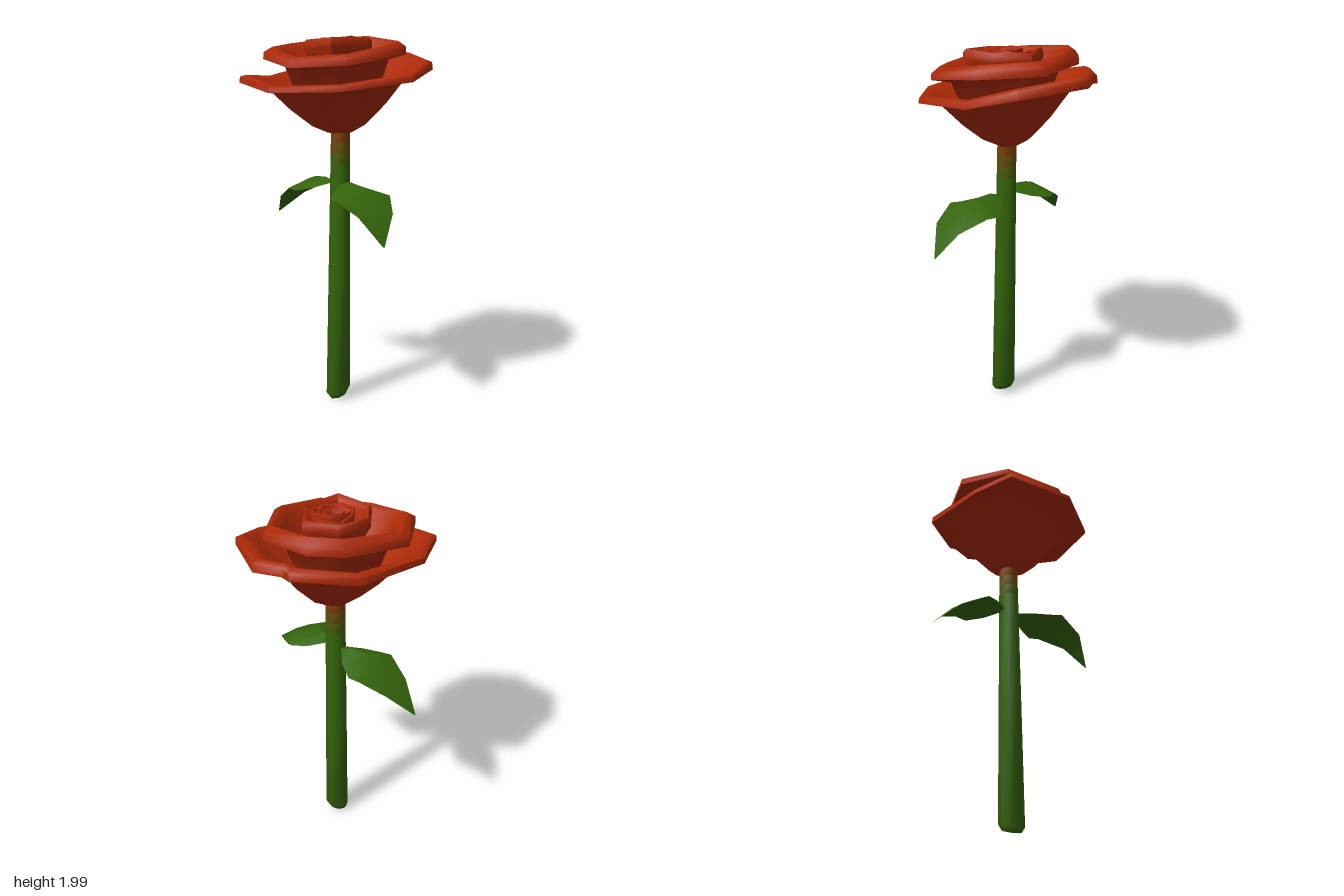
import * as THREE from 'three';
import { toCreasedNormals } from 'three/addons/utils/BufferGeometryUtils.js';

const mat = (name, color) =>
  Object.assign(new THREE.MeshStandardMaterial({ color, side: THREE.DoubleSide }), { name });

// Skin a list of rings (arrays of [x, y, z]); closed rings wrap around
function skin(rings, closed, crease) {
  const n = rings[0].length, index = [];
  for (let j = 0; j < rings.length - 1; j++) {
    for (let i = 0; i < (closed ? n : n - 1); i++) {
      const k = (i + 1) % n;
      const a = j * n + i, b = j * n + k, c = a + n, d = b + n;
      index.push(a, c, b, b, c, d);
    }
  }
  const g = new THREE.BufferGeometry();
  g.setAttribute('position', new THREE.Float32BufferAttribute(rings.flat(2), 3));
  g.setIndex(index);
  return toCreasedNormals(g, crease);
}

// Cup of petals: the rim outline is scaled to the centre and lowered to the base, level by level
function petalCup(rim, base, levels, [cx, cz] = [0, 0]) {
  return skin(levels.map(([k, t]) => rim.map(([x, y, z]) =>
    [cx + (x - cx) * k, base + (y - base) * t, cz + (z - cz) * k])), true, 1.1);
}

// Small irregular rim for the furled heart
function heartRim(r, y, turn, sides) {
  return Array.from({ length: sides }, (_, i) => {
    const a = turn + i / sides * Math.PI * 2, q = r * (1 + 0.14 * Math.sin(i * 2.3 + turn));
    return [0.01 + q * Math.sin(a), y + 0.01 * Math.sin(i * 1.7), -q * Math.cos(a)];
  });
}

export function createModel() {
  const model = new THREE.Group();
  const red = mat('petal red', 0xac2a08);
  const green = mat('leaf green', 0x34640a);
  const fade = [mat('olive', 0x485a0a), mat('brown', 0x624c0a), mat('rust', 0x7c3e0a)];
  const add = (parent, name, geo, material) => {
    const m = new THREE.Mesh(geo, material);
    m.name = name;
    parent.add(m);
    return m;
  };

  // Flower: three big cups, clockwise rims seen from above
  const flower = new THREE.Group();
  flower.name = 'flower';
  model.add(flower);

  const outerRim = [[0.12, 1.9, -0.46], [0.155, 1.91, -0.442], [0.29, 1.91, -0.425],
    [0.465, 1.875, -0.12], [0.425, 1.81, 0.13], [0.15, 1.765, 0.42], [-0.2, 1.755, 0.46],
    [-0.465, 1.8, 0.235], [-0.43, 1.79, 0], [-0.19, 1.88, -0.41]];
  add(flower, 'outerPetals', petalCup(outerRim, 1.5, [[0, 0], [0.13, 0], [0.28, 0.11], [0.5, 0.4],
    [0.77, 0.85], [1, 0.87], [0.99, 0.97], [0.93, 1], [0.8, 0.92], [0.5, 0.5], [0, 0.35]]), red);

  const middleRim = [[0.06, 2, -0.365], [0.3, 1.97, -0.21], [0.325, 1.95, 0.09],
    [0.16, 1.905, 0.35], [-0.13, 1.89, 0.375], [-0.36, 1.94, 0.165], [-0.365, 1.96, -0.12],
    [-0.11, 1.995, -0.34]];
  add(flower, 'middlePetals', petalCup(middleRim, 1.58, [[0.3, 0], [0.6, 0.4], [0.74, 0.78],
    [1, 0.83], [0.99, 0.93], [0.88, 1], [0.74, 0.92], [0.6, 0.62], [0.42, 0.43], [0, 0.4]]), red);

  const innerRim = [[-0.05, 1.99, -0.18], [0.13, 1.985, -0.145], [0.165, 1.985, 0.04],
    [0.03, 1.985, 0.215], [-0.15, 1.975, 0.13], [-0.17, 1.975, -0.03]];
  add(flower, 'innerPetals', petalCup(innerRim, 1.65, [[0.7, 0], [0.84, 0.7], [1, 0.86], [0.99, 0.95],
    [0.92, 1], [0.76, 0.95], [0.66, 0.7], [0, 0.6]]), red);

  // Furled heart: nested, twisted rings
  [[0.115, 1.98, 0.5, 7], [0.085, 1.985, 1.1, 6], [0.055, 1.98, 0.2, 5], [0.028, 1.975, 0.9, 5]]
    .forEach(([r, y, turn, sides], i) => add(flower, 'heartPetals' + (i + 1),
      petalCup(heartRim(r, y, turn, sides), 1.8, [[0.8, 0], [1, 0.93], [0.96, 1], [0.82, 0.98],
        [0.74, 0.7], [0, 0.65]], [0.01, 0]), red));

  // Stem: slightly leaning and tapering, with a slanted cut end, fading to red below the flower
  const stem = new THREE.Group();
  stem.name = 'stem';
  model.add(stem);
  const stemRing = (y, scale = 1, slant = 0) => Array.from({ length: 8 }, (_, i) => {
    const t = y / 1.5, a = (i + 0.5) / 8 * Math.PI * 2;
    const r = scale * THREE.MathUtils.lerp(0.067, 0.051, t);
    return [-0.003 + 0.006 * t + r * Math.sin(a), y + slant * r * (Math.sin(a) + Math.cos(a)),
      0.018 - 0.021 * t - r * Math.cos(a)];
  });
  add(stem, 'stemShaft', skin([stemRing(0.022, 0.01), stemRing(0.022, 0.75, 0.25),
    stemRing(0.05, 1, 0.25), stemRing(0.7), stemRing(1.33)], true, 0.9), green);
  const fadeHeights = [1.33, 1.39, 1.45, 1.53];
  fade.forEach((material, i) => add(stem, 'stemFade' + (i + 1),
    skin([stemRing(fadeHeights[i]), stemRing(fadeHeights[i + 1])], true, 0.9), material));

  // Leaves: arched, folded along the midrib; stations are [distance, height, half width, fold]
  const stations = [[0, 1.22, 0.012, 0], [0.05, 1.235, 0.025, 0.01], [0.11, 1.25, 0.1, 0.05],
    [0.19, 1.245, 0.158, 0.065], [0.25, 1.225, 0.162, 0.038], [0.383, 1.13, 0.1, 0.01]];
  const leaf = (name, turn, width, tip, tipHeight) => {
    const rings = [...stations, [tip, tipHeight, 0.004, 0]].map(([d, y, w, fold]) =>
      [[d, y - fold, -w * width], [d, y, 0], [d, y - fold, w * width]]);
    add(model, name, skin(rings, false, 0.9), green).rotation.y = turn;
  };
  leaf('leftLeaf', -0.75, 1, 0.467, 0.975);
  leaf('rightLeaf', Math.PI - 0.455, 0.92, 0.507, 1.003);

  return model;
}
